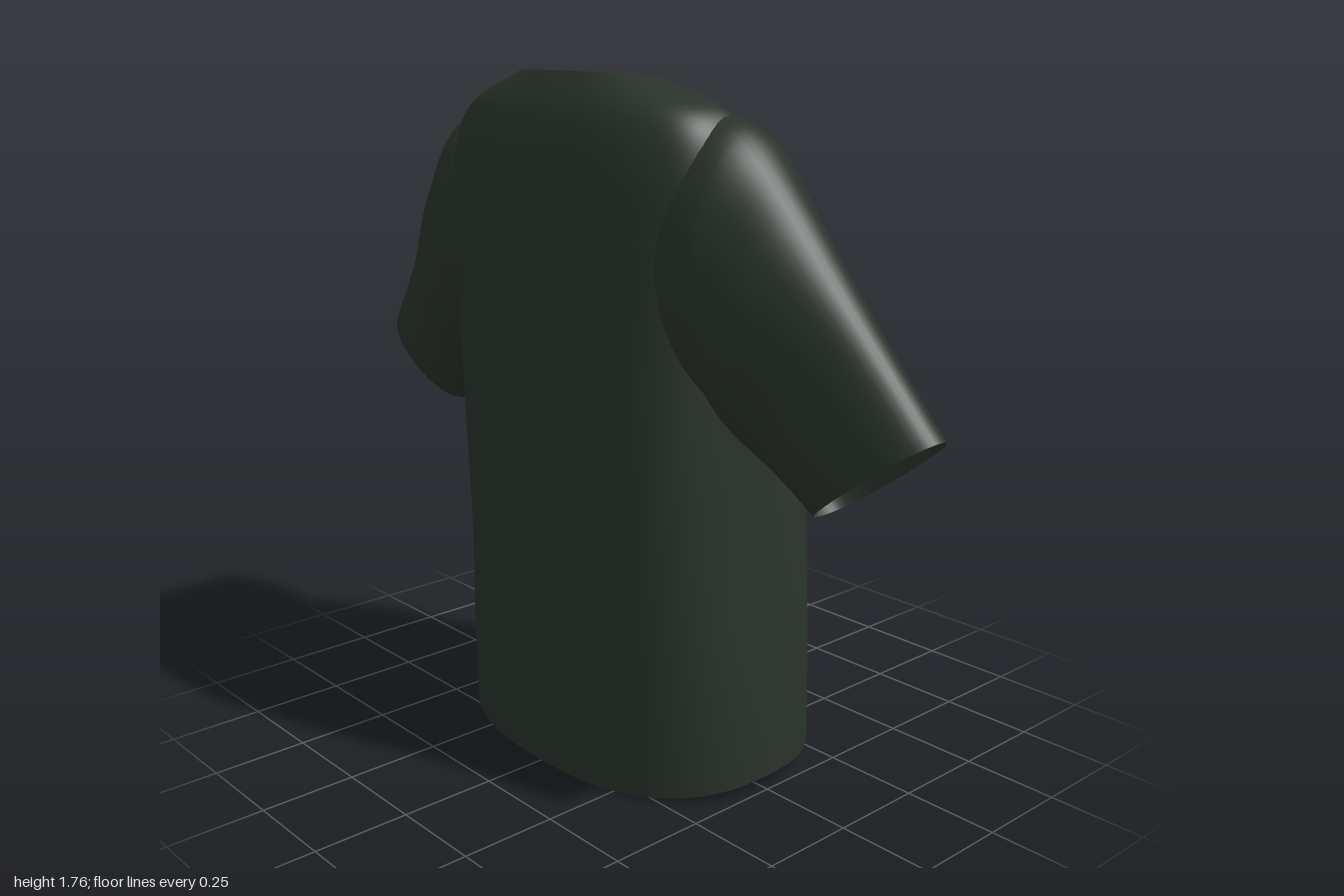
import * as THREE from 'three';

// Catmull-Rom blend of a table of cross-section rows
function sampleRows(rows, u) {
  const f = u * (rows.length - 1);
  const i = Math.min(Math.floor(f), rows.length - 2);
  const t = f - i;
  const row = (k) => rows[THREE.MathUtils.clamp(k, 0, rows.length - 1)];
  return rows[i].map((_, c) => {
    const [a, b, d, e] = [row(i - 1)[c], row(i)[c], row(i + 1)[c], row(i + 2)[c]];
    return b + 0.5 * t * (d - a + t * (2 * a - 5 * b + 4 * d - e + t * (3 * (b - d) + e - a)));
  });
}

// Open tube of closed rings; point(row, angle, u) gives [x, y, z], isHole(x, y, z) leaves faces out
function loft(rows, steps, sides, point, flip, isHole = () => false) {
  const pos = [], idx = [];
  for (let i = 0; i <= steps; i++) {
    const u = i / steps;
    const r = sampleRows(rows, u);
    for (let j = 0; j < sides; j++) pos.push(...point(r, (j / sides) * Math.PI * 2, u));
  }
  for (let i = 0; i < steps; i++) {
    for (let j = 0; j < sides; j++) {
      const a = i * sides + j, b = i * sides + (j + 1) % sides;
      const c = a + sides, d = b + sides;
      const mid = [0, 1, 2].map((k) => (pos[a * 3 + k] + pos[d * 3 + k]) / 2);
      if (isHole(...mid)) continue;
      if (flip) idx.push(a, c, b, b, c, d);
      else idx.push(a, b, c, b, d, c);
    }
  }
  const g = new THREE.BufferGeometry();
  g.setAttribute('position', new THREE.Float32BufferAttribute(pos, 3));
  g.setIndex(idx);
  g.computeVertexNormals();
  return g;
}

const spow = (v, p) => Math.sign(v) * Math.pow(Math.abs(v), p);
const bump = (v, centre, width) => Math.exp(-(((v - centre) / width) ** 2));

export function createModel() {
  const group = new THREE.Group();
  group.name = 'shirt';
  const fabric = new THREE.MeshStandardMaterial({ color: 0x29332a, side: THREE.DoubleSide });
  fabric.name = 'dark green fabric';

  // Torso rows: backX, frontX, sideX, backY, frontY, sideY, +z width, -z width,
  // front roundness, back roundness
  const torsoRows = [
    [-0.33, 0.345, 0.05, 0.0, 0.06, 0.033, 0.49, 0.53, 0.83, 0.8],
    [-0.335, 0.34, 0.04, 0.25, 0.3, 0.27, 0.48, 0.50, 0.77, 0.72],
    [-0.34, 0.335, 0.02, 0.55, 0.6, 0.57, 0.46, 0.45, 0.7, 0.62],
    [-0.345, 0.332, 0.0, 0.85, 0.92, 0.87, 0.45, 0.445, 0.68, 0.58],
    [-0.35, 0.33, -0.03, 1.15, 1.18, 1.14, 0.445, 0.45, 0.71, 0.6],
    [-0.35, 0.285, -0.06, 1.4, 1.32, 1.36, 0.46, 0.46, 0.76, 0.64],
    [-0.335, 0.2, -0.09, 1.55, 1.45, 1.55, 0.47, 0.47, 0.78, 0.68],
    [-0.3, 0.14, -0.1, 1.67, 1.55, 1.68, 0.41, 0.41, 0.78, 0.68],
    [-0.24, 0.1, -0.1, 1.76, 1.6, 1.745, 0.22, 0.24, 0.78, 0.68],
  ];
  const torso = loft(torsoRows, 96, 144, (r, t) => {
    const [xb, xf, xs, yb, yf, ys, zl, zr, pf, pb] = r;
    const c = Math.cos(t), s = Math.sin(t);
    const q = c > 0 ? pf : pb;
    const w = Math.pow(Math.abs(c), q);
    const x = xs + Math.sign(c) * w * (c > 0 ? xf - xs : xs - xb);
    const y = ys + Math.pow(w, 1.15) * ((c > 0 ? yf : yb) - ys);
    // drape fold below each armpit
    const fold = 1 - 0.13 * bump(c, 0.3, 0.2) * bump(y, 0.9, 0.25);
    return [x, y, spow(s, q) * (s > 0 ? zl : zr) * fold];
  }, true, (x, y, z) => Math.abs(z) > 0.33 && ((x + 0.085) / 0.14) ** 2 + ((y - 1.34) / 0.25) ** 2 < 1);
  const body = new THREE.Mesh(torso, fabric);
  body.name = 'torso';
  group.add(body);

  // Sleeve rows: topZ, topY, underZ, underY, backX, frontX
  const sleeveRows = [
    [0.38, 1.68, 0.41, 1.05, -0.285, 0.11],
    [0.49, 1.64, 0.45, 1.01, -0.27, 0.09],
    [0.6, 1.52, 0.51, 0.935, -0.235, 0.072],
    [0.79, 1.27, 0.595, 0.865, -0.175, 0.062],
    [1.0, 1.02, 0.69, 0.785, -0.14, 0.06],
  ];
  for (const side of [1, -1]) {
    const lift = side < 0 ? 0.02 : 0; // one cuff hangs a little higher
    const slack = side < 0 ? 0.035 : 0; // and that sleeve is fuller at the back
    const sleeve = loft(sleeveRows, 28, 48, (r, t, u) => {
      const [tz, ty, bz, by, xb, xf] = r;
      const s = Math.sin(t);
      const k = 0.5 + 0.5 * s;
      const back = xb - slack * Math.sin(Math.PI * u);
      const wrinkle = 1 + 0.025 * Math.sin(u * 15 + t * 2) * Math.sin(Math.PI * u);
      const x = (back + xf) / 2 + spow(Math.cos(t), s < 0 ? 0.75 : 0.95) * (xf - back) / 2 * wrinkle;
      // the root dips inward at front and back to follow the torso
      const root = 0.05 * Math.max(0, 1 - u * 4) * Math.cos(t) ** 2;
      return [x, by + (ty - by) * k + lift * u * (1 - k), side * (bz + (tz - bz) * k - root)];
    }, side < 0);
    const mesh = new THREE.Mesh(sleeve, fabric);
    mesh.name = side > 0 ? 'rightSleeve' : 'leftSleeve';
    group.add(mesh);
  }
  return group;
}
